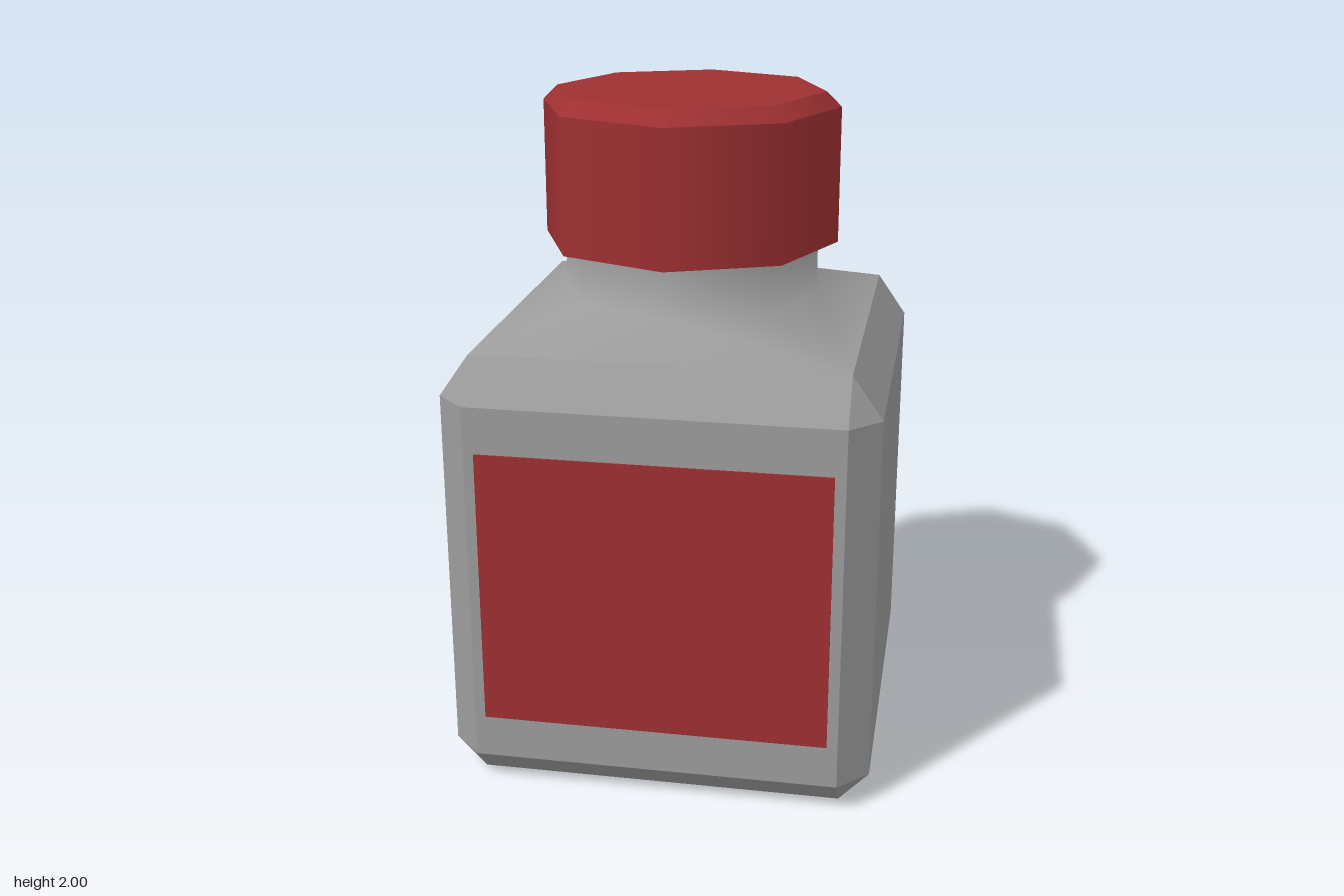
import * as THREE from 'three';

const HALF = 0.628, FLAT = 0.54;   // body half width, half width of its flat faces
const NECK_R = 0.385, CAP_R = 0.444, CAP_TOP_R = 0.4;
const SHOULDER_Y = 1.322, NECK_Y = 1.403, CAP_Y = 1.559, BEVEL_Y = 1.957;

function geometryFrom(points, index) {
  const g = new THREE.BufferGeometry();
  g.setAttribute('position', new THREE.Float32BufferAttribute(points.flat(), 3));
  g.setIndex(index);
  return g;
}

// Square ring with cut corners; a = b gives a plain square
function ring(a, b, y) {
  const pts = [];
  for (let k = 0; k < 4; k++) {
    for (let [x, z] of [[a, b], [b, a]]) {
      for (let r = 0; r < k; r++) [x, z] = [-z, x];
      pts.push([x, y, z]);
    }
  }
  return pts;
}

// Chamfered box: flat sides, sloped edges and triangular corners
function bodyGeometry() {
  const rings = [
    ring(FLAT, FLAT, 0), ring(HALF, FLAT, 0.093),
    ring(HALF, FLAT, 1.196), ring(FLAT, FLAT, SHOULDER_Y),
  ];
  const pts = rings.flat(), index = [];
  const tri = (a, b, c) => {
    const same = (p, q) => pts[p].every((v, i) => v === pts[q][i]);
    if (!same(a, b) && !same(b, c) && !same(a, c)) index.push(a, b, c);
  };
  for (let r = 0; r < 3; r++) {
    for (let i = 0; i < 8; i++) {
      const a = r * 8 + i, b = r * 8 + (i + 1) % 8;
      tri(a, a + 8, b);
      tri(b, a + 8, b + 8);
    }
  }
  tri(0, 2, 4); // base
  tri(0, 4, 6);
  const g = geometryFrom(pts, index).toNonIndexed();
  g.computeVertexNormals();
  return g;
}

// Smooth transition from the square shoulder to the eight-sided neck
function neckGeometry() {
  const pts = [], index = [];
  for (let k = 0; k < 4; k++) {
    const t = Math.PI / 4 + k * Math.PI / 2;
    pts.push([FLAT * Math.SQRT2 * Math.cos(t), SHOULDER_Y, FLAT * Math.SQRT2 * Math.sin(t)]);
  }
  for (const y of [NECK_Y, CAP_Y + 0.02]) {
    for (let i = 0; i < 8; i++) {
      const t = (i + 1) * Math.PI / 4;
      pts.push([NECK_R * Math.cos(t), y, NECK_R * Math.sin(t)]);
    }
  }
  for (let k = 0; k < 4; k++) {
    const next = (k + 1) % 4;
    const diag = 4 + 2 * k, axis = diag + 1, nextDiag = 4 + 2 * next;
    index.push(k, diag, axis, k, axis, next, next, axis, nextDiag);
  }
  for (let i = 0; i < 8; i++) {
    const a = 4 + i, b = 4 + (i + 1) % 8;
    index.push(a, a + 8, b, b, a + 8, b + 8);
  }
  const g = geometryFrom(pts, index);
  g.computeVertexNormals();
  return g;
}

export function createModel() {
  const grey = new THREE.MeshStandardMaterial({ color: 0x9c9c9c });
  grey.name = 'bottleGrey';
  const red = new THREE.MeshStandardMaterial({ color: 0x9e3032 });
  red.name = 'capRed';

  const model = new THREE.Group();
  model.name = 'bottle';
  const add = (parent, name, geometry, material, y = 0, z = 0) => {
    const mesh = new THREE.Mesh(geometry, material);
    mesh.name = name;
    mesh.position.set(0, y, z);
    parent.add(mesh);
    return mesh;
  };

  add(model, 'body', bodyGeometry(), grey);
  add(model, 'shoulderAndNeck', neckGeometry(), grey);

  // Front label
  add(model, 'label', new THREE.BoxGeometry(1.016, 0.835, 0.006), red, 0.6405, HALF + 0.001);

  // Eight-sided cap with a bevelled top edge
  const cap = new THREE.Group();
  cap.name = 'cap';
  model.add(cap);
  const side = BEVEL_Y - CAP_Y, bevel = 2 - BEVEL_Y;
  add(cap, 'capSide', new THREE.CylinderGeometry(CAP_R, CAP_R, side, 8, 1, true), red, CAP_Y + side / 2);
  add(cap, 'capBevel', new THREE.CylinderGeometry(CAP_TOP_R, CAP_R, bevel, 8, 1, true), red, BEVEL_Y + bevel / 2);
  add(cap, 'capTop', new THREE.CircleGeometry(CAP_TOP_R, 8).rotateX(-Math.PI / 2), red, 2);
  add(cap, 'capUnderside', new THREE.RingGeometry(NECK_R - 0.01, CAP_R, 8).rotateX(Math.PI / 2), red, CAP_Y);

  return model;
}
